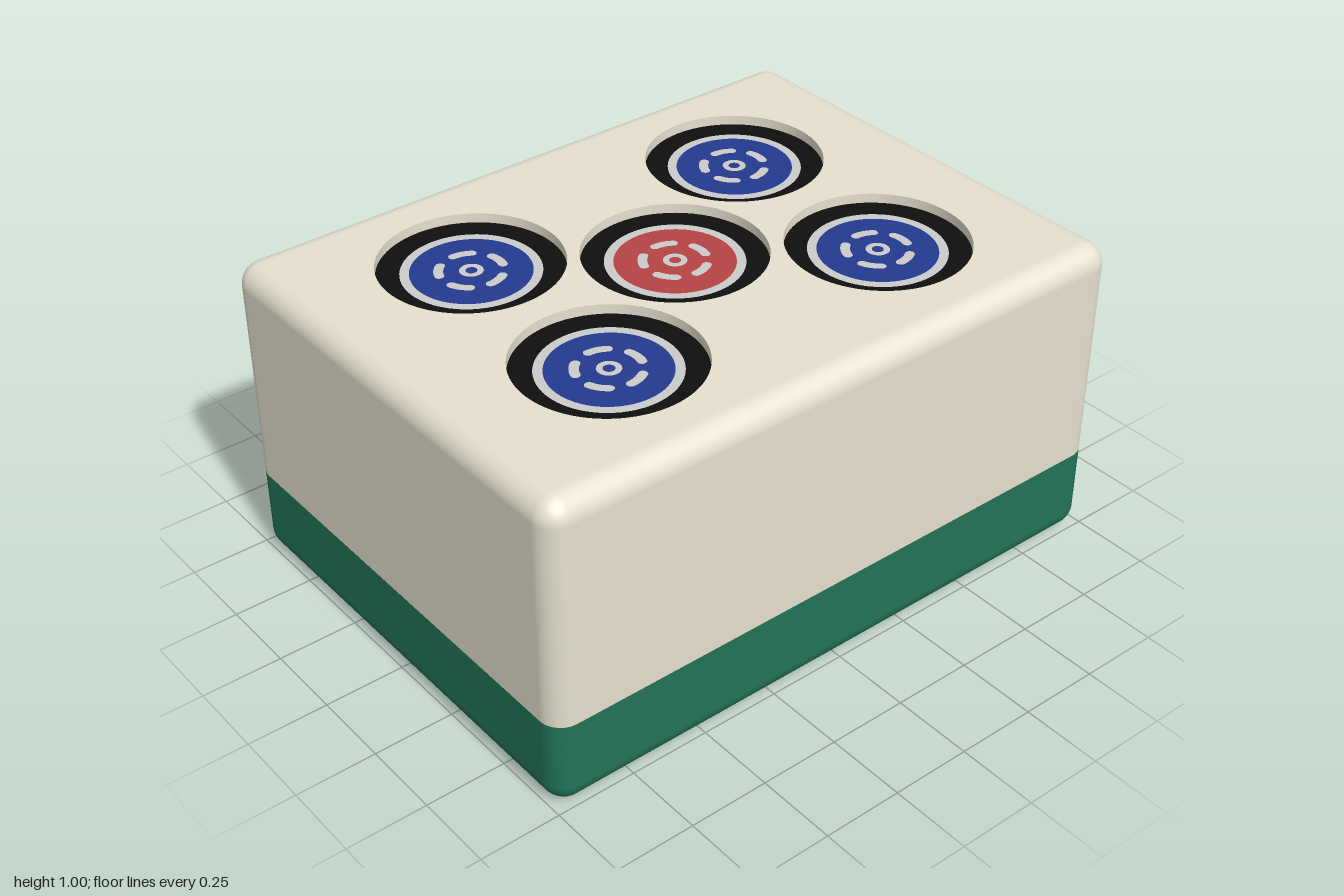
import * as THREE from 'three';

const W = 0.75, H = 1, D = 1, R = 0.07; // half width, height, half depth, edge radius
const SEAM = 0.285, DEPTH = 0.03, WELL = 0.27;
const SEG = 64, STEPS = 10;

const paint = (color, side = THREE.FrontSide) => new THREE.MeshStandardMaterial({ color, side });

function add(parent, name, geometry, material) {
  const mesh = new THREE.Mesh(geometry, material);
  mesh.name = name;
  parent.add(mesh);
  return mesh;
}

// Flat geometry facing up
const flat = (geometry) => geometry.rotateX(-Math.PI / 2);

// Rounded block wall lofted through levels of [centre height, tilt of the edge curve]
function shell(levels) {
  const pos = [], nor = [], idx = [];
  const corners = [[1, 1], [-1, 1], [-1, -1], [1, -1]];
  for (const [y, t] of levels) {
    corners.forEach(([sx, sz], c) => {
      for (let i = 0; i <= STEPS; i++) {
        const a = (c + i / STEPS) * Math.PI / 2;
        const n = [Math.cos(t) * Math.cos(a), Math.sin(t), Math.cos(t) * Math.sin(a)];
        pos.push(sx * (W - R) + R * n[0], y + R * n[1], sz * (D - R) + R * n[2]);
        nor.push(...n);
      }
    });
  }
  const ring = 4 * (STEPS + 1);
  for (let l = 0; l < levels.length - 1; l++) {
    for (let i = 0; i < ring; i++) {
      const a = l * ring + i, b = l * ring + (i + 1) % ring;
      idx.push(a, a + ring, b, b, a + ring, b + ring);
    }
  }
  const g = new THREE.BufferGeometry();
  g.setAttribute('position', new THREE.Float32BufferAttribute(pos, 3));
  g.setAttribute('normal', new THREE.Float32BufferAttribute(nor, 3));
  g.setIndex(idx);
  return g;
}

// Curved dash with round ends, centred on an angle
function dash(angle, radius, half, w) {
  const a0 = angle - half, a1 = angle + half, s = new THREE.Shape();
  s.absarc(0, 0, radius + w, a0, a1, false);
  s.absarc(radius * Math.cos(a1), radius * Math.sin(a1), w, a1, a1 + Math.PI, false);
  s.absarc(0, 0, radius - w, a1, a0, true);
  s.absarc(radius * Math.cos(a0), radius * Math.sin(a0), w, a0 + Math.PI, a0 + 2 * Math.PI, false);
  return s;
}

export function createModel() {
  const model = new THREE.Group();
  model.name = 'tile';
  const cream = paint(0xe5e0cf), green = paint(0x227359);
  const black = paint(0x0f0f0f), grey = paint(0xcccccc);
  const blue = paint(0x243a90), red = paint(0xb54343);
  const wallCream = paint(0xe5e0cf, THREE.BackSide);

  const pips = [[-0.317, -0.487], [0.317, -0.487], [0, 0], [-0.317, 0.48], [0.317, 0.48]];

  // Two-colour rounded body
  const lower = [], upper = [[SEAM, 0]];
  for (let i = 0; i <= STEPS; i++) {
    const t = i / STEPS * Math.PI / 2;
    lower.push([R, t - Math.PI / 2]);
    upper.push([H - R, t]);
  }
  lower.push([SEAM, 0]);
  add(model, 'baseWall', shell(lower), green);
  add(model, 'bodyWall', shell(upper), cream);
  const bottom = new THREE.PlaneGeometry(2 * (W - R), 2 * (D - R)).rotateX(Math.PI / 2);
  add(model, 'baseBottom', bottom, green);

  // Top face with round openings
  const w = W - R, d = D - R;
  const face = new THREE.Shape([[-w, -d], [w, -d], [w, d], [-w, d]].map(p => new THREE.Vector2(...p)));
  for (const [x, z] of pips) {
    face.holes.push(new THREE.Path().absarc(x, -z, WELL, 0, Math.PI * 2, true));
  }
  add(model, 'topFace', flat(new THREE.ShapeGeometry(face, SEG)), cream).position.y = H;

  // Pip parts shared by every well
  const wellWall = new THREE.CylinderGeometry(WELL, WELL, DEPTH, SEG, 1, true).translate(0, DEPTH / 2, 0);
  const outerRing = flat(new THREE.RingGeometry(0.202, WELL, SEG));
  const innerRing = flat(new THREE.RingGeometry(0.175, 0.202, SEG));
  const disc = flat(new THREE.CircleGeometry(0.175, SEG));
  const hub = flat(new THREE.RingGeometry(0.017, 0.035, 32));
  const dashes = [];
  for (let i = 0; i < 5; i++) {
    dashes.push(dash(Math.PI / 2 + i * Math.PI * 2 / 5, 0.093, 0.3, 0.014));
  }
  const dashRing = flat(new THREE.ShapeGeometry(dashes, 12));

  pips.forEach(([x, z], i) => {
    const pip = new THREE.Group();
    pip.name = 'pip' + (i + 1);
    pip.position.set(x, H - DEPTH, z);
    add(pip, 'wellWall', wellWall, wallCream);
    add(pip, 'outerRing', outerRing, black);
    add(pip, 'innerRing', innerRing, grey);
    add(pip, 'disc', disc, i === 2 ? red : blue);
    add(pip, 'hub', hub, grey).position.y = 0.002;
    add(pip, 'dashRing', dashRing, grey).position.y = 0.002;
    model.add(pip);
  });
  return model;
}
